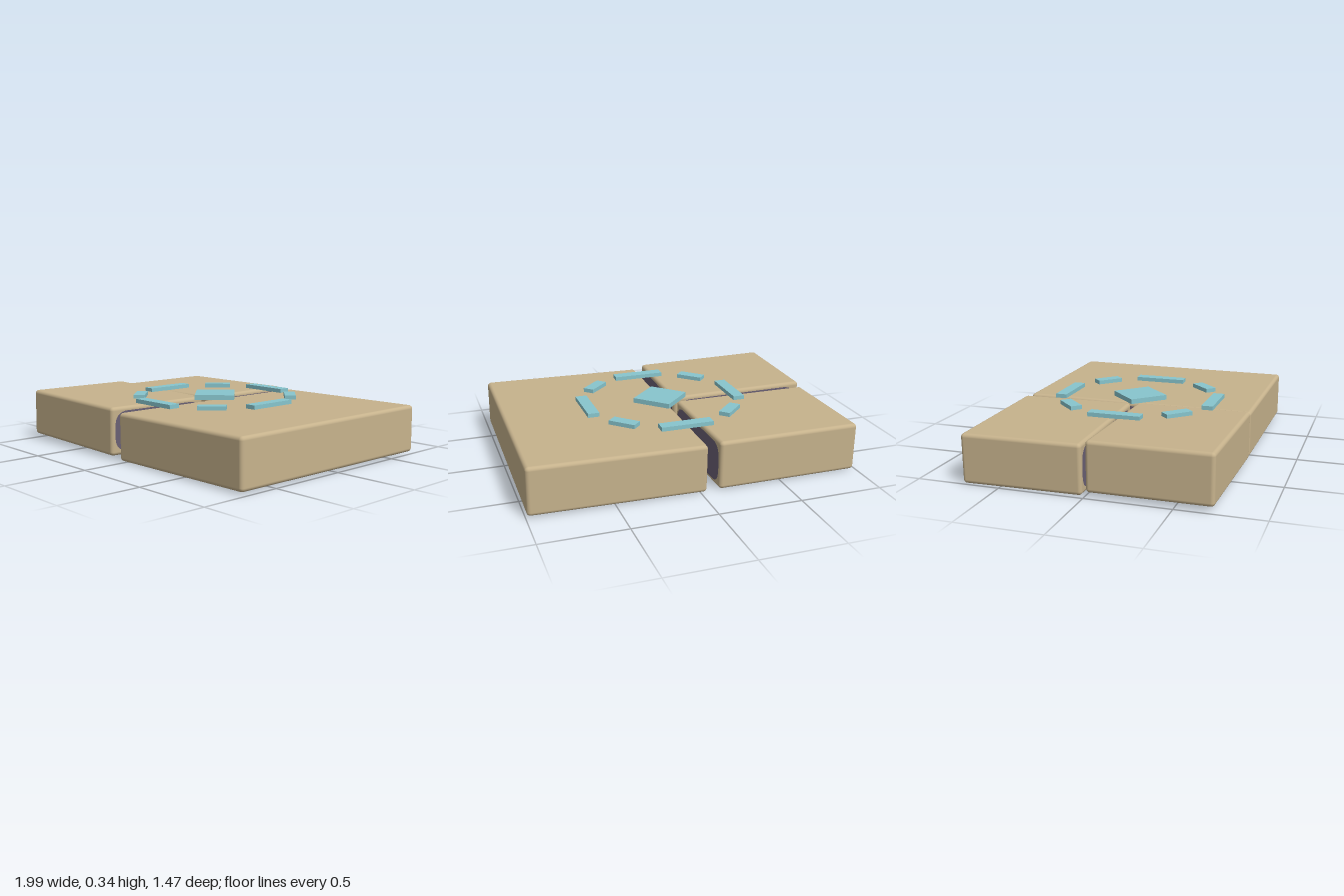
import * as THREE from 'three';
import { RoundedBoxGeometry } from 'three/addons/geometries/RoundedBoxGeometry.js';

const makeMaterial = (name, color) => {
  const m = new THREE.MeshStandardMaterial({ color });
  m.name = name;
  return m;
};

// Flat rounded rectangle centred on the origin, facing +z
function roundedPanel(w, h, r) {
  const x = w / 2, y = h / 2;
  const s = new THREE.Shape();
  s.moveTo(-x + r, -y);
  s.lineTo(x - r, -y);
  s.quadraticCurveTo(x, -y, x, -y + r);
  s.lineTo(x, y - r);
  s.quadraticCurveTo(x, y, x - r, y);
  s.lineTo(-x + r, y);
  s.quadraticCurveTo(-x, y, -x, y - r);
  s.lineTo(-x, -y + r);
  s.quadraticCurveTo(-x, -y, -x + r, -y);
  return new THREE.ShapeGeometry(s, 8);
}

export function createModel() {
  const stone = makeMaterial('sandstone', 0xc6b28c);
  const cut = makeMaterial('dark cut stone', 0x6a6074);
  const glow = makeMaterial('turquoise inlay', 0x87c5cd);
  const model = new THREE.Group();
  model.name = 'brokenSlab';

  // Stone pieces, each slightly tilted, with dark faces along the breaks
  const pieces = [
    { name: 'largePiece', size: [1.033, 0.287, 1.452], pos: [0.468, 0.16, -0.003],
      rot: [0, -0.01, 0.011], cuts: ['-x'] },
    { name: 'frontPiece', size: [0.88, 0.292, 0.71], pos: [-0.547, 0.179, 0.367],
      rot: [-0.006, -0.013, -0.015], cuts: ['+x', '-z'] },
    { name: 'backPiece', size: [0.88, 0.292, 0.711], pos: [-0.548, 0.161, -0.376],
      rot: [-0.005, 0.012, 0.006], cuts: ['+x', '+z'] },
  ];
  const turns = { '+x': Math.PI / 2, '-x': -Math.PI / 2, '+z': 0, '-z': Math.PI };

  for (const { name, size: [w, h, d], pos, rot, cuts } of pieces) {
    const piece = new THREE.Group();
    piece.name = name;
    const block = new THREE.Mesh(new RoundedBoxGeometry(w, h, d, 3, 0.022), stone);
    block.name = name + 'Block';
    piece.add(block);
    for (const side of cuts) {
      const alongX = side[1] === 'x';
      const panel = new THREE.Mesh(roundedPanel((alongX ? d : w) - 0.05, h - 0.05, 0.09), cut);
      panel.name = 'cutFace';
      panel.rotation.y = turns[side];
      panel.translateZ((alongX ? w : d) / 2 + 0.001);
      piece.add(panel);
    }
    piece.position.set(...pos);
    piece.rotation.set(...rot);
    model.add(piece);
  }

  // Ring of eight inlaid bars, long on the axes and short on the diagonals
  const ring = new THREE.Group();
  ring.name = 'inlayRing';
  for (let i = 0; i < 8; i++) {
    const a = (i * Math.PI) / 4;
    const bar = new THREE.Mesh(new THREE.BoxGeometry(i % 2 ? 0.17 : 0.32, 0.025, 0.07), glow);
    bar.name = i % 2 ? 'shortBar' : 'longBar';
    bar.position.set(Math.sin(a) * 0.472, 0.3335, Math.cos(a) * 0.472);
    bar.rotation.y = a;
    ring.add(bar);
  }

  // Central diamond
  const diamond = new THREE.Mesh(new THREE.BoxGeometry(0.245, 0.03, 0.245), glow);
  diamond.name = 'centreDiamond';
  diamond.position.y = 0.337;
  diamond.rotation.y = Math.PI / 4;
  ring.add(diamond);
  ring.position.x = -0.003;
  model.add(ring);

  return model;
}
